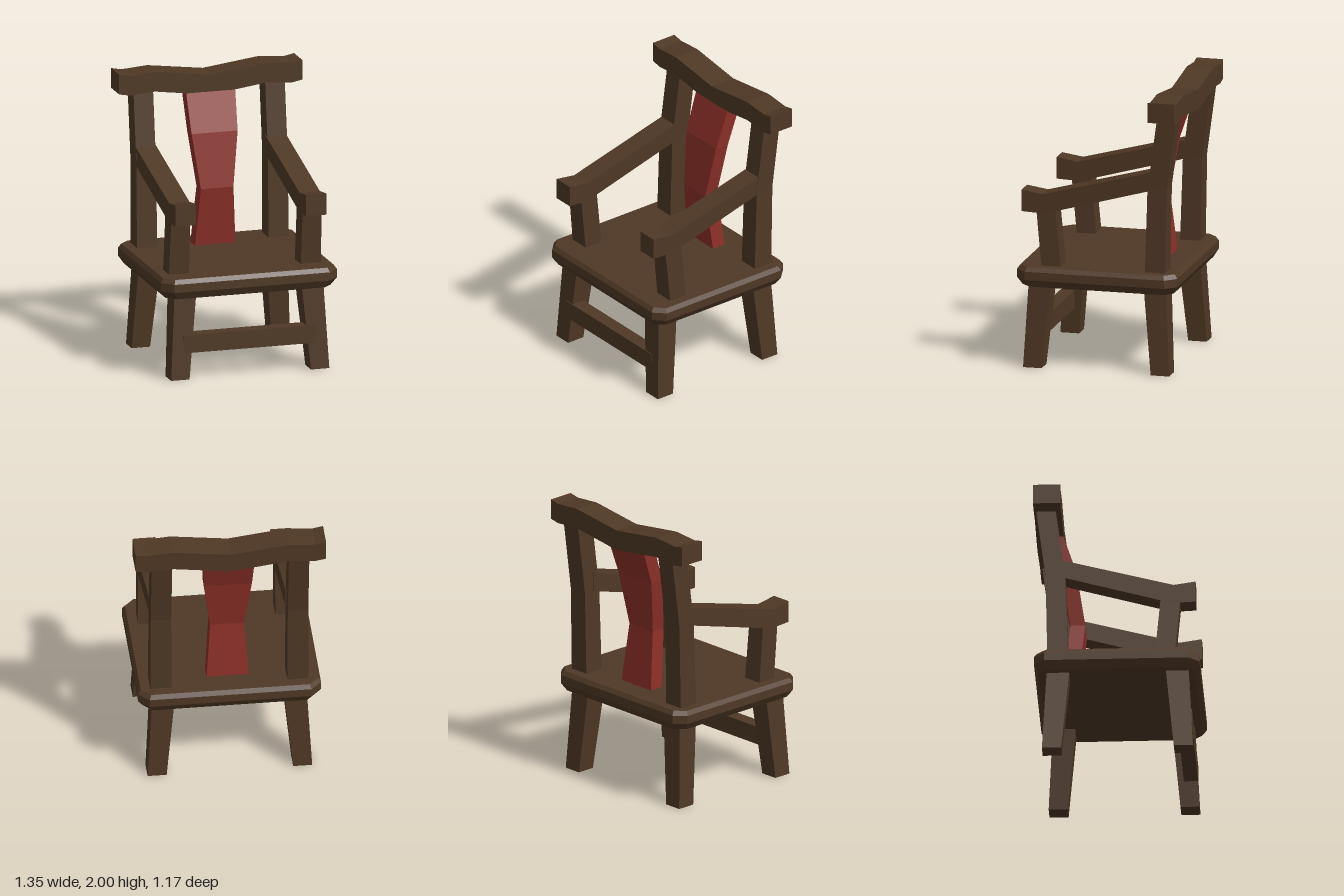
import * as THREE from 'three';

// Skin stacked cross-sections (each { y, pts: [[x, z], ...] }, listed bottom to top)
function loft(rings) {
  const pos = [];
  const n = rings[0].pts.length;
  const put = (r, j) => pos.push(r.pts[j % n][0], r.y, r.pts[j % n][1]);
  for (let i = 0; i < rings.length - 1; i++) {
    const a = rings[i], b = rings[i + 1];
    for (let j = 0; j < n; j++) {
      put(a, j); put(a, j + 1); put(b, j + 1);
      put(a, j); put(b, j + 1); put(b, j);
    }
  }
  const bottom = rings[0], top = rings[rings.length - 1];
  for (let j = 1; j < n - 1; j++) {
    put(bottom, 0); put(bottom, j + 1); put(bottom, j);
    put(top, 0); put(top, j); put(top, j + 1);
  }
  const geo = new THREE.BufferGeometry();
  geo.setAttribute('position', new THREE.Float32BufferAttribute(pos, 3));
  geo.computeVertexNormals();
  return geo;
}

// Rectangular section; side = -1 mirrors it across x
function rect(y, x0, x1, z0, z1, side = 1) {
  const l = side > 0 ? x0 : -x1, r = side > 0 ? x1 : -x0;
  return { y, pts: [[l, z1], [r, z1], [r, z0], [l, z0]] };
}

// Rectangle with cut corners
function octagon(y, x, z, c) {
  return { y, pts: [[-x + c, z], [x - c, z], [x, z - c], [x, -z + c],
    [x - c, -z], [-x + c, -z], [-x, -z + c], [-x, z - c]] };
}

function extrude(points, depth) {
  const shape = new THREE.Shape(points.map(([x, y]) => new THREE.Vector2(x, y)));
  return new THREE.ExtrudeGeometry(shape, { depth, bevelEnabled: false });
}

export function createModel() {
  const wood = new THREE.MeshStandardMaterial({ color: 0x4f3825 });
  wood.name = 'dark wood';
  const red = new THREE.MeshStandardMaterial({ color: 0x8c3028 });
  red.name = 'red lacquer';

  const chair = new THREE.Group();
  chair.name = 'armchair';
  const add = (name, geo, mat = wood) => {
    const mesh = new THREE.Mesh(geo, mat);
    mesh.name = name;
    chair.add(mesh);
    return mesh;
  };

  // Seat slab with chamfered edges and cut corners
  add('seat', loft([
    octagon(0.595, 0.61, 0.55, 0.065),
    octagon(0.65, 0.648, 0.583, 0.075),
    octagon(0.71, 0.648, 0.583, 0.075),
    octagon(0.74, 0.628, 0.562, 0.067),
  ]));

  for (const side of [1, -1]) {
    const hand = side > 0 ? 'left' : 'right';

    // Splayed, tapering legs
    add(hand + 'FrontLeg', loft([
      rect(0, 0.448, 0.583, 0.402, 0.537, side),
      rect(0.62, 0.388, 0.549, 0.343, 0.504, side),
    ]));
    add(hand + 'BackLeg', loft([
      rect(0, 0.448, 0.583, -0.527, -0.392, side),
      rect(0.62, 0.388, 0.549, -0.494, -0.333, side),
    ]));

    // Back post, bent backwards above the arm
    add(hand + 'BackPost', loft([
      rect(0.72, 0.41, 0.56, -0.49, -0.343, side),
      rect(1.35, 0.413, 0.558, -0.502, -0.363, side),
      rect(1.89, 0.413, 0.558, -0.574, -0.436, side),
    ]));

    // Arm support
    add(hand + 'ArmSupport', loft([
      rect(0.72, 0.412, 0.56, 0.268, 0.408, side),
      rect(1.17, 0.415, 0.555, 0.31, 0.45, side),
    ]));

    // Arm: side profile in (-z, y), turned to run front to back
    const arm = extrude([
      [-0.555, 1.125], [-0.39, 1.117], [0.42, 1.342],
      [0.42, 1.474], [-0.4, 1.257], [-0.555, 1.28],
    ], 0.15);
    arm.translate(0, 0, -0.075);
    arm.rotateY(Math.PI / 2);
    add(hand + 'Arm', arm).position.x = side * 0.481;
  }

  // Front stretcher
  add('frontStretcher', new THREE.BoxGeometry(0.98, 0.13, 0.1)).position.set(0, 0.255, 0.477);

  // Curved splat, waisted in the middle: [y, half width, front z]
  add('backSplat', loft([
    [0.72, 0.151, -0.292], [1.16, 0.12, -0.242],
    [1.55, 0.17, -0.302], [1.86, 0.182, -0.405],
  ].map(([y, w, z]) => rect(y, -w, w, z - 0.105, z))), red);

  // Top rail with a shallow dip in the middle and raised ends
  const upper = [[0.675, 2], [0.6, 1.985], [0.41, 2], [0, 1.947]];
  const lower = [[0.675, 1.856], [0.6, 1.842], [0.41, 1.856], [0, 1.8]];
  const across = (half) => [
    ...half.map(([x, y]) => [-x, y]),
    ...half.slice(0, 3).reverse(),
  ];
  add('topRail', extrude([...across(lower), ...across(upper).reverse()], 0.192)).position.z = -0.585;

  return chair;
}
